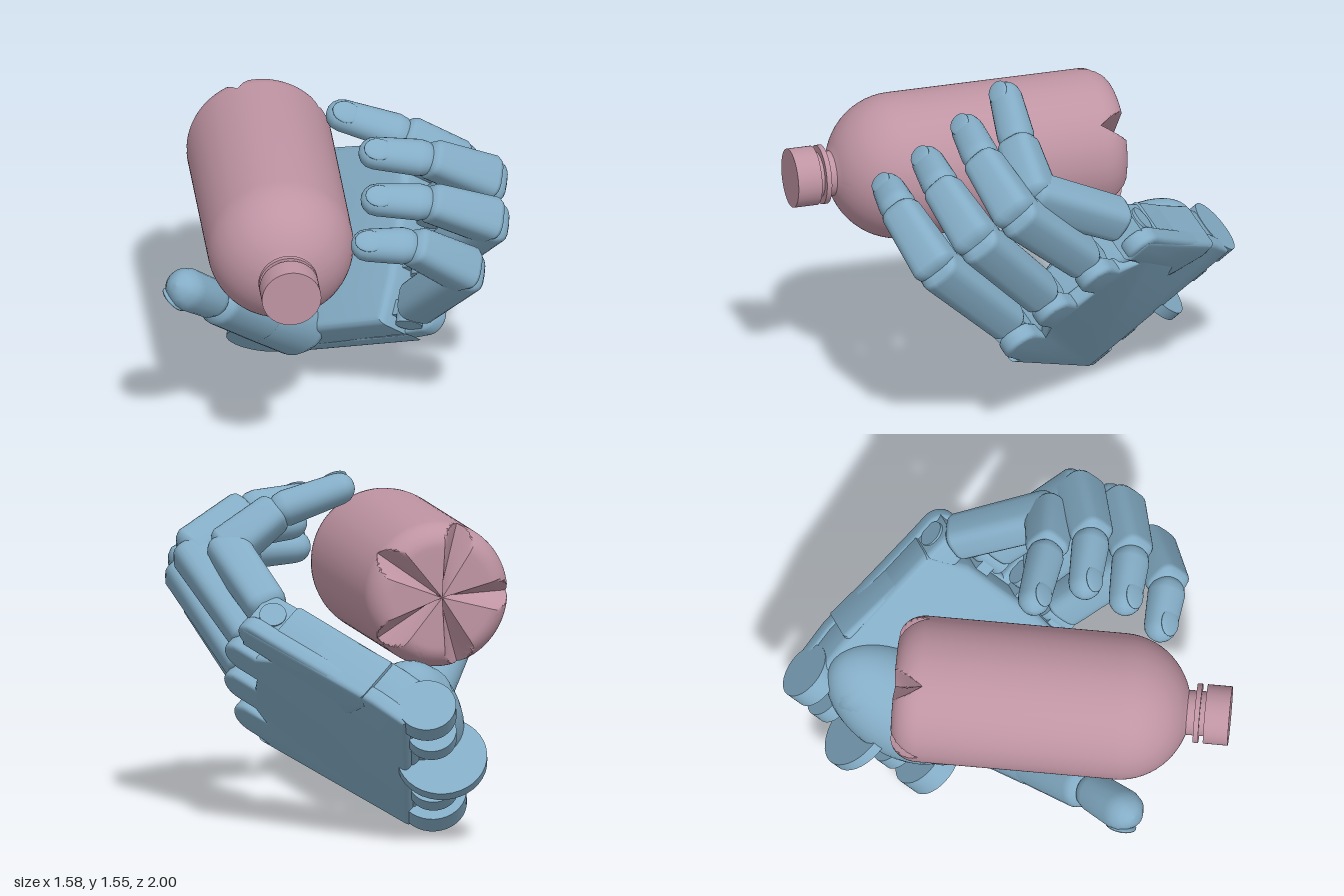
import * as THREE from 'three';
import { toCreasedNormals } from 'three/addons/utils/BufferGeometryUtils.js';

const V = (x, y, z) => new THREE.Vector3(x, y, z);
const blue = new THREE.MeshStandardMaterial({ color: 0x84adc6 });
const pink = new THREE.MeshStandardMaterial({ color: 0xbf94a3 });

// Hand frame: ALONG wrist to fingers, ACROSS little to index finger, FACE out of the palm
const ALONG = V(0.67, 0.43, 0.6).normalize();
const FACE = ALONG.clone().cross(V(0.2, 0.66, -0.72)).normalize();
const ACROSS = FACE.clone().cross(ALONG);
const WRIST = V(-0.2, 0.37, -0.65);

function add(parent, name, geometry, material = blue) {
  const mesh = new THREE.Mesh(geometry, material);
  mesh.name = name;
  parent.add(mesh);
  return mesh;
}

// Side and back directions of a limb piece running from a to b
function limbFrame(a, b, hint) {
  const d = b.clone().sub(a).normalize();
  const s = hint.clone().addScaledVector(d, -hint.dot(d)).normalize();
  return { d, s, o: s.clone().cross(d), length: a.distanceTo(b) };
}

// Tapered limb piece with domed ends; power below 1 squares the section
function limb(a, b, r0, r1, hint, power = 0.62, flat = 1, dome = 0.5) {
  const { d, s, o, length } = limbFrame(a, b, hint);
  const N = 24, pos = [], idx = [];
  const steps = [0, 0.35, 0.7, 1.1, Math.PI / 2];
  const rings = [
    ...steps.map((q) => [r0 * dome * (1 - Math.cos(q)), r0 * Math.sin(q)]),
    ...steps.map((q) => [length - r1 * dome * (1 - Math.cos(q)), r1 * Math.sin(q)]).reverse(),
  ];
  const bend = (c) => Math.sign(c) * Math.abs(c) ** power;
  for (const [t, r] of rings) {
    for (let i = 0; i < N; i++) {
      const q = (i / N) * Math.PI * 2;
      const p = a.clone().addScaledVector(d, t)
        .addScaledVector(s, r * bend(Math.cos(q)))
        .addScaledVector(o, r * flat * bend(Math.sin(q)));
      pos.push(p.x, p.y, p.z);
    }
  }
  for (let k = 0; k < rings.length - 1; k++) {
    for (let i = 0; i < N; i++) {
      const p = k * N + i, q = k * N + ((i + 1) % N);
      idx.push(p, p + N, q, q, p + N, q + N);
    }
  }
  const g = new THREE.BufferGeometry();
  g.setAttribute('position', new THREE.Float32BufferAttribute(pos, 3));
  g.setIndex(idx);
  g.computeVertexNormals();
  return g;
}

// Nail: thin rounded plate on the back of a fingertip
function nail(parent, a, tip, r, hint) {
  const { d, s, o } = limbFrame(a, tip, hint);
  const m = add(parent, 'nail', new THREE.SphereGeometry(1, 20, 12));
  m.scale.set(r * 0.7, r * 0.18, r * 0.9);
  m.quaternion.setFromRotationMatrix(new THREE.Matrix4().makeBasis(s, o, d.clone().negate()));
  m.position.copy(tip).addScaledVector(d, -r * 1.1).addScaledVector(o, r * 0.85);
}

function plate(shape, from, to, bevel) {
  const g = new THREE.ExtrudeGeometry(shape, {
    depth: to - from - 2 * bevel, bevelSize: bevel, bevelThickness: bevel, bevelOffset: -bevel, bevelSegments: 3, curveSegments: 12,
  });
  g.translate(0, 0, from + bevel);
  return toCreasedNormals(g, 0.6);
}

function polygon(points) {
  return new THREE.Shape(points.map(([x, y]) => new THREE.Vector2(x, y)));
}

function buildPalm() {
  const palm = new THREE.Group();
  palm.name = 'palm';
  palm.position.copy(WRIST);
  palm.quaternion.setFromRotationMatrix(new THREE.Matrix4().makeBasis(ALONG, ACROSS, FACE));

  // Back plate with a rounded tab over each finger
  const knuckles = [[0.95, -0.37], [1.0, -0.15], [0.99, 0.1], [0.91, 0.33]];
  const back = new THREE.Shape();
  back.moveTo(0.07, -0.43);
  back.lineTo(0.9, -0.47);
  for (const [u, v] of knuckles) {
    back.lineTo(u - 0.09, v - 0.085);
    back.lineTo(u, v - 0.085);
    back.absarc(u, v, 0.085, -Math.PI / 2, Math.PI / 2, false);
    back.lineTo(u - 0.09, v + 0.085);
  }
  back.lineTo(0.25, 0.43);
  back.lineTo(0.07, 0.41);
  add(palm, 'backPlate', plate(back, -0.13, -0.05, 0.02));

  // Main body
  add(palm, 'palmBody', plate(polygon([[0.06, -0.43], [0.86, -0.46], [0.89, -0.25], [0.89, 0.2], [0.82, 0.41], [0.25, 0.42], [0.06, 0.4]]), -0.1, 0.11, 0.035));
  // Raised strip on the index side
  add(palm, 'indexStrip', plate(polygon([[0.3, 0.435], [0.97, 0.39], [0.97, 0.25], [0.46, 0.25], [0.4, 0.19], [0.36, 0.23], [0.28, 0.36]]), -0.135, 0.1, 0.025));
  // Finger hinge pins
  for (const [u, v] of knuckles) {
    const pin = add(palm, 'hingePin', new THREE.CylinderGeometry(0.06, 0.06, 0.15, 24));
    pin.position.set(u - 0.02, v, 0);
    const neck = add(palm, 'hingeNeck', new THREE.BoxGeometry(0.16, 0.07, 0.1));
    neck.position.set(u - 0.09, v, 0);
  }
  // Wrist hinge ears: across, radius, thickness, along, outward
  for (const [v, r, t, u, n] of [[-0.37, 0.15, 0.1, 0.05, 0.03], [-0.21, 0.11, 0.07, 0.02, 0], [0, 0.2, 0.05, -0.01, 0.03], [0.21, 0.11, 0.07, 0.02, 0], [0.37, 0.13, 0.09, 0.05, 0.01]]) {
    const ear = add(palm, 'wristEar', new THREE.CylinderGeometry(r, r, t, 36));
    ear.position.set(u, v, n);
  }
  // Fleshy mound carrying the thumb
  const mound = add(palm, 'thumbMound', new THREE.SphereGeometry(1, 36, 24));
  mound.scale.set(0.23, 0.4, 0.2);
  mound.position.set(0.2, 0, 0.11);
  add(palm, 'thumbMount', limb(V(0.16, 0.35, 0.12), V(0.25, -0.4, 0.13), 0.15, 0.17, V(1, 0, 0), 0.9, 1, 0.9));
  return palm;
}

// Finger: base, middle joint, end joint, tip, thickness
function buildFinger(name, base, mid, end, tip, r) {
  const finger = new THREE.Group();
  finger.name = name;
  const stretch = (a, b, e0, e1) => {
    const d = b.clone().sub(a).normalize();
    return [a.clone().addScaledVector(d, -e0), b.clone().addScaledVector(d, e1)];
  };
  add(finger, 'lowerSegment', limb(...stretch(base, mid, 0.01, 0.045), r * 0.94, r, ACROSS));
  add(finger, 'middleSegment', limb(...stretch(mid, end, 0.045, 0.03), r * 1.03, r * 0.87, ACROSS));
  add(finger, 'tipSegment', limb(...stretch(end, tip, 0.03, 0), r * 0.83, r * 0.73, ACROSS, 0.85, 0.95, 1));
  nail(finger, end, tip, r * 0.73, ACROSS);
  return finger;
}

function buildThumb() {
  const thumb = new THREE.Group();
  thumb.name = 'thumb';
  const side = V(0.4, -0.465, 0.78);
  const base = V(-0.07, 0.24, -0.23), knuckle = V(-0.42, 0.58, 0.21), joint = V(-0.56, 0.765, 0.41), tip = V(-0.745, 0.965, 0.62);
  add(thumb, 'lowerSegment', limb(base, knuckle, 0.145, 0.11, side, 0.95, 1, 0.95));
  add(thumb, 'middleSegment', limb(V(-0.29, 0.45, 0.05), joint, 0.115, 0.106, side, 0.95, 1, 0.7));
  add(thumb, 'tipSegment', limb(V(-0.53, 0.73, 0.375), tip, 0.09, 0.096, side, 0.9, 0.95, 1.1));
  nail(thumb, joint, tip, 0.09, side);
  return thumb;
}

function buildBottle() {
  const bottle = new THREE.Group();
  bottle.name = 'bottle';
  bottle.position.set(-0.27, 1.08, 0);
  const R = 0.325, profile = [];
  // Base, rounded edge, wall and domed shoulder
  for (let i = 0; i <= 6; i++) profile.push([Math.max(i * 0.0375, 0.0001), -0.49]);
  for (let i = 1; i <= 14; i++) {
    const q = (i / 14) * Math.PI / 2;
    profile.push([0.225 + 0.1 * Math.sin(q), -0.37 - 0.12 * Math.cos(q)]);
  }
  for (let i = 0; i <= 12; i++) {
    const q = (i / 12) * 1.25;
    profile.push([R * Math.cos(q), 0.51 + 0.315 * Math.sin(q)]);
  }
  profile.push([0.098, 0.812]);
  const body = new THREE.LatheGeometry(profile.map(([r, y]) => new THREE.Vector2(r, y)), 120);
  body.rotateX(Math.PI / 2);
  // Five wedge grooves across the base
  const p = body.attributes.position, pitch = Math.PI * 0.4;
  for (let i = 0; i < p.count; i++) {
    const x = p.getX(i), y = p.getY(i), z = p.getZ(i);
    if (z > -0.36) continue;
    const turn = (Math.atan2(x, y) + Math.PI * 2.1) / pitch;
    const off = Math.abs(turn - Math.round(turn)) * pitch;
    const floor = -0.44 + 0.08 * (Math.hypot(x, y) / R);
    p.setZ(i, Math.max(z, floor - (floor + 0.49) * off / (Math.PI / 12)));
  }
  add(bottle, 'bottleBody', toCreasedNormals(body, 0.5), pink);
  // Neck, collar rings and cap: radius, start, end
  for (const [name, r, z0, z1] of [['neck', 0.1, 0.78, 0.9], ['collar', 0.132, 0.845, 0.868], ['cap', 0.132, 0.89, 1]]) {
    const g = new THREE.CylinderGeometry(r, r, z1 - z0, 48);
    g.rotateX(Math.PI / 2);
    g.translate(0, 0, (z0 + z1) / 2);
    add(bottle, name, g, pink);
  }
  return bottle;
}

export function createModel() {
  const model = new THREE.Group();
  model.name = 'handHoldingBottle';
  const hand = new THREE.Group();
  hand.name = 'hand';
  hand.add(
    buildPalm(),
    buildFinger('littleFinger', V(0.36, 0.55, 0.18), V(0.545, 0.94, 0.57), V(0.31, 1.13, 0.67), V(0.03, 1.14, 0.65), 0.098),
    buildFinger('ringFinger', V(0.47, 0.71, 0.06), V(0.67, 1.1, 0.42), V(0.4, 1.25, 0.5), V(0.09, 1.28, 0.49), 0.098),
    buildFinger('middleFinger', V(0.5, 0.87, -0.13), V(0.68, 1.21, 0.24), V(0.42, 1.37, 0.32), V(0.1, 1.42, 0.31), 0.098),
    buildFinger('indexFinger', V(0.47, 1.02, -0.31), V(0.55, 1.23, 0.12), V(0.33, 1.39, 0.13), V(-0.02, 1.51, 0.09), 0.097),
    buildThumb(),
  );
  model.add(hand, buildBottle());
  return model;
}
